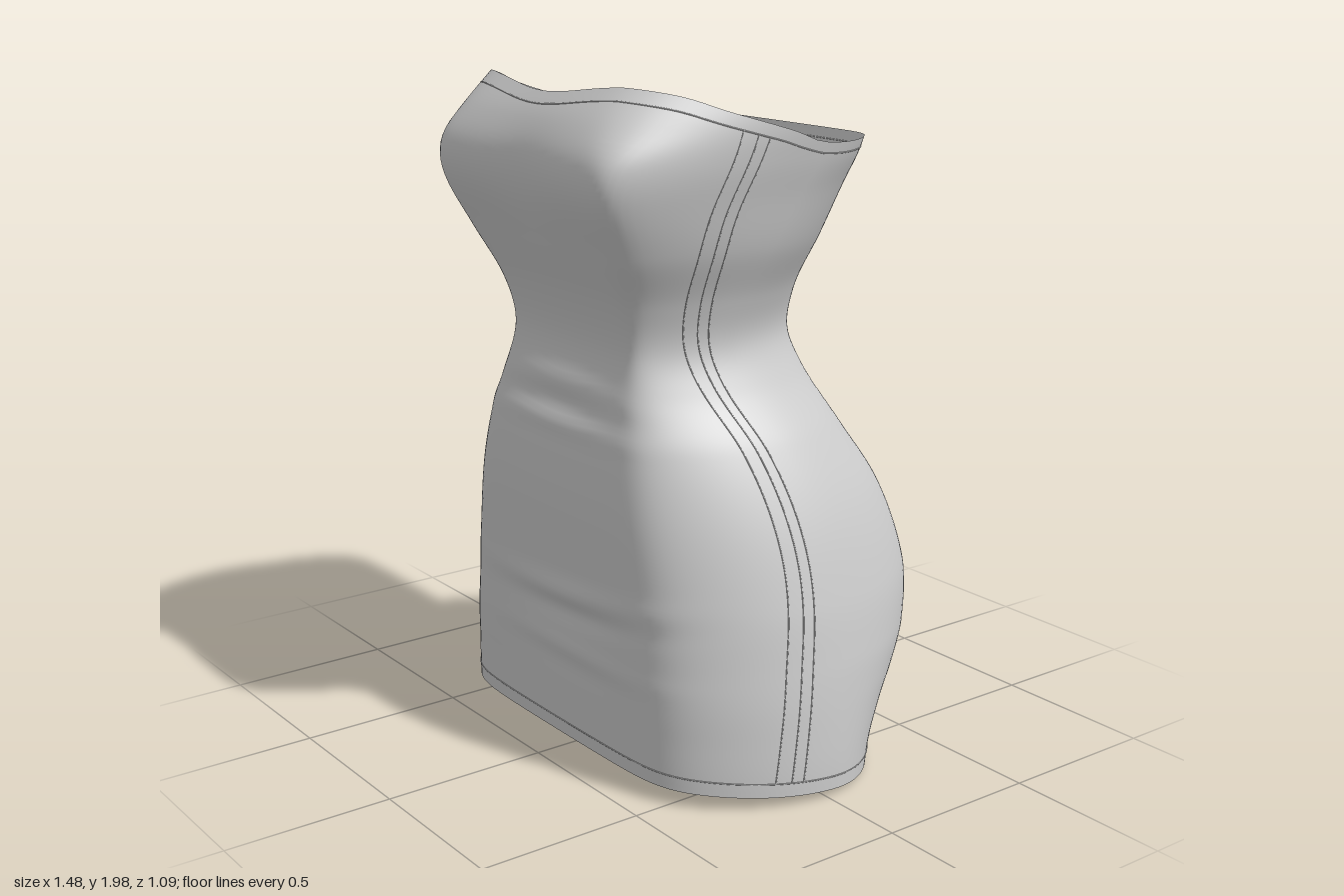
import * as THREE from 'three';

// Profile rows: y, half width, front z, back z, z of widest point, front squareness, back squareness
const ROWS = [
  [0.00, 0.74, 0.42, -0.38, -0.02, 1.30, 1.12],
  [0.10, 0.74, 0.423, -0.40, -0.02, 1.30, 1.15],
  [0.20, 0.735, 0.425, -0.445, -0.025, 1.30, 1.20],
  [0.30, 0.727, 0.43, -0.495, -0.03, 1.30, 1.27],
  [0.40, 0.715, 0.43, -0.53, -0.04, 1.30, 1.31],
  [0.57, 0.685, 0.435, -0.545, -0.04, 1.30, 1.32],
  [0.80, 0.62, 0.44, -0.48, -0.03, 1.32, 1.30],
  [1.00, 0.53, 0.42, -0.36, 0.01, 1.40, 1.30],
  [1.15, 0.43, 0.385, -0.285, 0.06, 1.55, 1.30],
  [1.27, 0.384, 0.37, -0.25, 0.08, 1.65, 1.30],
  [1.40, 0.41, 0.40, -0.255, 0.06, 1.65, 1.32],
  [1.55, 0.475, 0.47, -0.295, 0.01, 1.70, 1.36],
  [1.70, 0.517, 0.54, -0.345, -0.05, 1.76, 1.40],
  [1.80, 0.545, 0.545, -0.375, -0.10, 1.65, 1.45],
  [1.90, 0.562, 0.495, -0.395, -0.12, 1.40, 1.45],
  [2.00, 0.55, 0.41, -0.40, -0.12, 1.30, 1.45],
];
const RIM = [[-0.38, 1.83], [-0.1, 1.84], [0, 1.875], [0.2, 1.937], [0.3, 1.975], [0.4, 2.0]];
const HEM = [[-0.38, 0.01], [0.42, 0.06]];

// Smooth cubic lookup through a table sorted by its first column
function lookup(table, t, col) {
  const last = table.length - 1;
  let i = 0;
  while (i < last - 1 && t > table[i + 1][0]) i++;
  const a = table[i], b = table[i + 1], h = b[0] - a[0];
  const slope = (k) => {
    const p = table[Math.max(k - 1, 0)], q = table[Math.min(k + 1, last)];
    return (q[col] - p[col]) / (q[0] - p[0]);
  };
  const u = THREE.MathUtils.clamp((t - a[0]) / h, 0, 1), u2 = u * u, u3 = u2 * u;
  return a[col] * (2 * u3 - 3 * u2 + 1) + b[col] * (3 * u2 - 2 * u3)
    + h * (slope(i) * (u3 - 2 * u2 + u) + slope(i + 1) * (u3 - u2));
}

const bump = (v, centre, width) => Math.exp(-(((v - centre) / width) ** 2));
const soften = (q) => q / Math.pow(1 + q ** 12, 1 / 12);

// Fabric creases, as an offset along z
function folds(x, y, s) {
  if (s > 0) {
    const t = y - 0.1 * x * x - 0.05 * x;
    const low = 0.016 * bump(t, 0.52, 0.035) - 0.014 * bump(t, 0.455, 0.035)
      + 0.009 * bump(y, 0.35, 0.03) - 0.005 * bump(y, 0.29, 0.04);
    const waist = 0.012 * bump(y + 0.12 * x * x, 1.14, 0.035) - 0.008 * bump(y, 1.075, 0.03)
      + 0.007 * bump(y, 1.02, 0.025);
    const bust = -0.016 * bump(x, 0, 0.18) * bump(y, 1.75, 0.14);
    return s * s * (low * bump(x, 0.1, 0.35) + waist * bump(x, 0, 0.35) + bust);
  }
  return s * s * (0.007 * bump(y, 1.25, 0.03) - 0.006 * bump(y, 1.35, 0.03)) * bump(x, 0, 0.3);
}

// Point on the cloth: a runs round the body, v from hem (0) to neckline (1)
function cloth(a, v) {
  const c = Math.cos(a), s = Math.sin(a);
  // cross-section: an ellipse softly flattened at front and back
  const at = (y) => {
    const [w, front, back, mid, kFront, kBack] = [1, 2, 3, 4, 5, 6].map((k) => lookup(ROWS, y, k));
    const k = s > 0 ? kFront : kBack;
    const depth = (s > 0 ? front : back) - mid;
    return new THREE.Vector3(w * c, y, mid + (depth * soften(k * Math.abs(s))) / soften(k));
  };
  let top = 1.9;
  for (let k = 0; k < 5; k++) {
    const p = at(top);
    top = lookup(RIM, p.z, 1) - (s > 0 ? 0.035 * s * bump(p.x, 0, 0.24) : 0);
  }
  const bottom = lookup(HEM, at(0.03).z, 1);
  const p = at(bottom + v * (top - bottom));
  p.z += folds(p.x, p.y, s);
  return p;
}

function clothGeometry(around, rows) {
  const pos = [], index = [];
  for (let j = 0; j <= rows; j++)
    for (let i = 0; i < around; i++) pos.push(...cloth((i / around) * Math.PI * 2, j / rows).toArray());
  for (let j = 0; j < rows; j++)
    for (let i = 0; i < around; i++) {
      const n = (i + 1) % around, a = j * around + i, b = j * around + n;
      index.push(a, a + around, b, b, a + around, b + around);
    }
  const g = new THREE.BufferGeometry();
  g.setAttribute('position', new THREE.Float32BufferAttribute(pos, 3));
  g.setIndex(index);
  g.computeVertexNormals();
  return g;
}

// Angle on the left side where the cloth reaches a given z
function angleAtZ(z, v) {
  let lo = -1.2, hi = 1.2;
  for (let k = 0; k < 18; k++) {
    const mid = (lo + hi) / 2;
    if (cloth(mid, v).z < z) lo = mid; else hi = mid;
  }
  return (lo + hi) / 2;
}

export function createModel() {
  const dress = new THREE.Group();
  dress.name = 'dress';
  const fabric = new THREE.MeshStandardMaterial({ color: 0xcccccc, side: THREE.DoubleSide });
  const add = (name, geometry) => {
    const mesh = new THREE.Mesh(geometry, fabric);
    mesh.name = name;
    dress.add(mesh);
  };

  // Body of the dress, open at hem and neckline
  add('dressBody', clothGeometry(144, 110));

  // Stitch lines following hem and neckline
  for (const [name, v] of [['hemStitch', 0.022], ['necklineStitch', 0.983]]) {
    const pts = [];
    for (let i = 0; i < 80; i++) pts.push(cloth((i / 80) * Math.PI * 2, v));
    add(name, new THREE.TubeGeometry(new THREE.CatmullRomCurve3(pts, true), 160, 0.002, 5, true));
  }

  // Three seam lines down each side: v, z of the middle line
  const seam = [[0.022, 0.12], [0.18, 0.08], [0.32, 0.05], [0.42, 0.06], [0.52, 0.1], [0.62, 0.17],
    [0.72, 0.2], [0.86, 0.195], [0.983, 0.12]];
  for (const offset of [-0.035, 0, 0.045]) {
    const left = [];
    for (let i = 0; i <= 40; i++) {
      const v = 0.022 + (i / 40) * 0.961;
      left.push(cloth(angleAtZ(lookup(seam, v, 1) + offset, v), v));
    }
    const right = left.map((p) => new THREE.Vector3(-p.x, p.y, p.z));
    for (const [name, pts] of [['leftSideSeam', left], ['rightSideSeam', right]])
      add(name, new THREE.TubeGeometry(new THREE.CatmullRomCurve3(pts), 80, 0.002, 5));
  }
  return dress;
}
